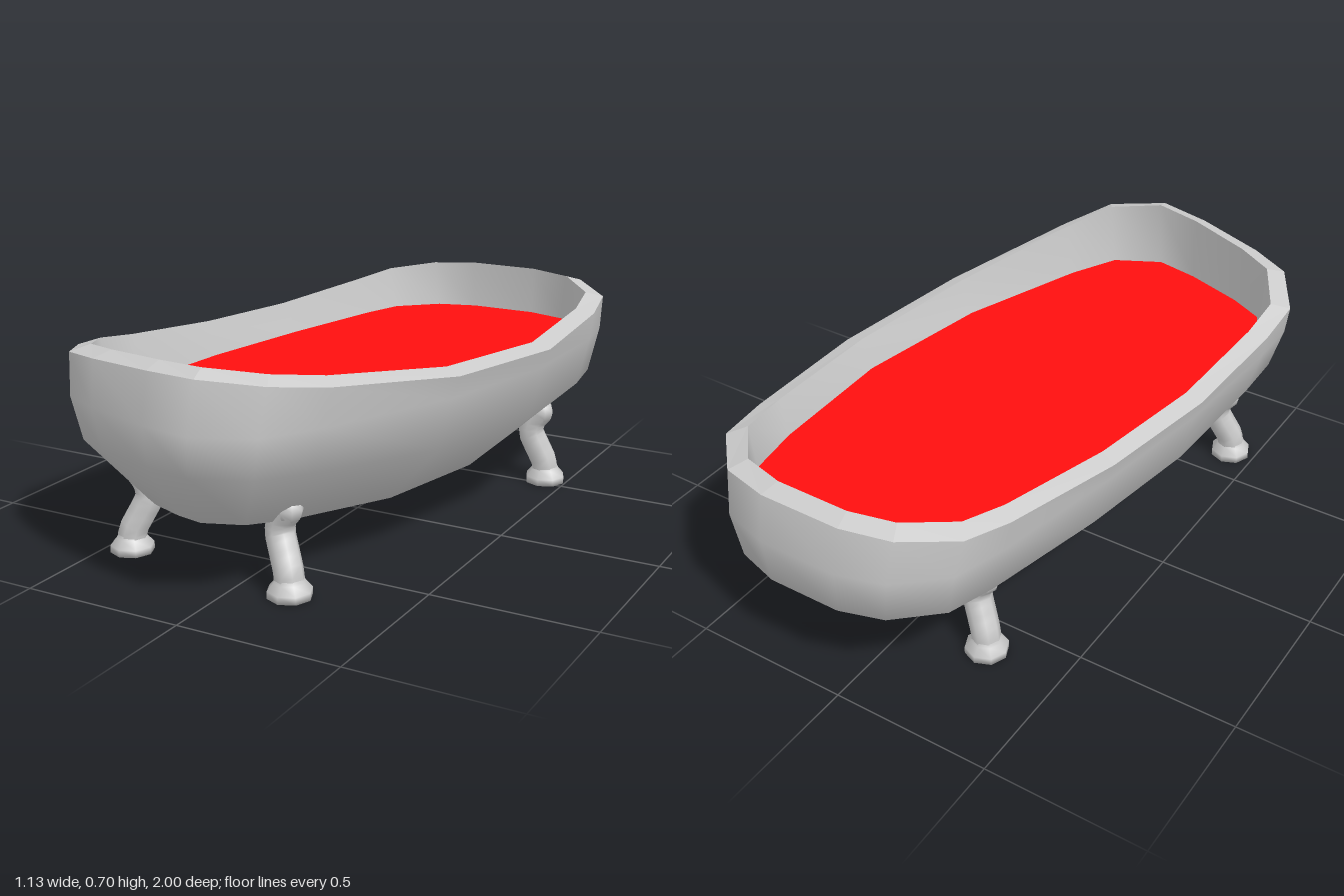
import * as THREE from 'three';

const grey = new THREE.MeshStandardMaterial({ color: 0xcccccc, side: THREE.DoubleSide });
const flatGrey = new THREE.MeshStandardMaterial({ color: 0xcccccc, side: THREE.DoubleSide, flatShading: true });
const red = new THREE.MeshStandardMaterial({ color: 0xff0e0e, side: THREE.DoubleSide });

// Outer edge of the rim in plan (x, z), running back, right, front, left
const outline = [
  [-0.04, -0.98], [-0.19, -0.94], [-0.33, -0.825], [-0.38, -0.68], [-0.47, -0.29],
  [-0.54, 0.11], [-0.568, 0.49], [-0.568, 0.65], [-0.47, 0.81], [-0.34, 0.87],
  [-0.11, 0.94], [0.06, 0.97], [0.23, 0.89], [0.32, 0.725], [0.485, 0.29],
  [0.567, -0.18], [0.545, -0.62], [0.51, -0.8], [0.375, -0.94], [0.22, -0.98],
];
const SKEW = -0.13; // the tub's centre line is x = SKEW * z

// The outline shrunk towards the centre line, with height given by a rule on z
function ring(sx, sz, height) {
  return outline.map(([x, z]) => new THREE.Vector3(
    SKEW * z * sz + (x - SKEW * z) * sx, height(z), z * sz));
}

// Skin between closed rings, each ring lying outside or below the one before
function loft(rings) {
  const n = outline.length, index = [];
  for (let r = 0; r < rings.length - 1; r++) {
    for (let i = 0; i < n; i++) {
      const j = (i + 1) % n, a = r * n, b = a + n;
      index.push(a + i, b + i, b + j, a + i, b + j, a + j);
    }
  }
  const geometry = new THREE.BufferGeometry().setFromPoints(rings.flat());
  geometry.setIndex(index);
  geometry.computeVertexNormals();
  return geometry;
}

function add(parent, name, geometry, material) {
  const mesh = new THREE.Mesh(geometry, material);
  mesh.name = name;
  parent.add(mesh);
  return mesh;
}

// Curved leg with a rounded top and a flared, hollow foot;
// leanX and leanZ say how far the knee is set in from the foot
function makeLeg(name, x, z, leanX, leanZ) {
  const leg = new THREE.Group();
  leg.name = name;
  const points = [
    [0, 0.035, 0], [0.1, 0.07, 0.1], [0.55, 0.12, 0.55], [1, 0.175, 1], [0.85, 0.215, 1], [0.4, 0.245, 0.9],
  ].map(([tx, y, tz]) => new THREE.Vector3(leanX * tx, y, leanZ * tz));
  const path = new THREE.CatmullRomCurve3(points);
  add(leg, name + 'Shank', new THREE.TubeGeometry(path, 10, 0.044, 8), grey);
  add(leg, name + 'Top', new THREE.SphereGeometry(0.044, 8, 6), grey).position.copy(points.at(-1));
  const foot = [[0.035, 0.025], [0.066, 0], [0.066, 0.022], [0.046, 0.045], [0.04, 0.06]];
  add(leg, name + 'Foot',
    new THREE.LatheGeometry(foot.map(([r, y]) => new THREE.Vector2(r, y)), 8), grey);
  leg.position.set(x, 0, z);
  return leg;
}

export function createModel() {
  const model = new THREE.Group();
  model.name = 'bathtub';

  // Rim dips in the middle and rises to both ends
  const rimY = (z) => 0.555 + 0.093 * (z + 0.18) ** 2;
  const waterY = () => 0.473;
  const rimOuter = ring(1, 1, rimY);
  const rimInner = ring(0.9, 0.945, (z) => rimY(z) + 0.018);
  const waterEdge = ring(0.845, 0.95, waterY);

  // Rounded hull, closing in a narrow keel
  add(model, 'hull', loft([
    rimOuter,
    ring(0.96, 1.025, (z) => 0.5 + 0.03 * z),
    ring(0.885, 1.01, (z) => 0.325 + 0.09 * Math.max(z, 0)),
    ring(0.545, 0.885, (z) => 0.15 + 0.02 * z + 0.075 * z * z),
    ring(0.28, 0.7, (z) => 0.118 + 0.03 * z + 0.025 * z * z),
    ring(0.06, 0.27, (z) => 0.096 + 0.012 * z),
    ring(0, 0, () => 0.092),
  ]), grey);
  add(model, 'rim', loft([rimInner, rimOuter]), flatGrey);
  add(model, 'innerWall', loft([waterEdge, rimInner]), grey);

  // Flat surface filling the tub
  add(model, 'liquid', loft([ring(0, 0, waterY), waterEdge]), red);

  // Four legs
  model.add(
    makeLeg('frontLeftLeg', 0.167, 0.695, -0.05, -0.035),
    makeLeg('frontRightLeg', -0.417, 0.635, 0.05, -0.03),
    makeLeg('backLeftLeg', 0.43, -0.53, -0.05, 0.015),
    makeLeg('backRightLeg', -0.252, -0.62, 0.05, 0.03),
  );
  return model;
}
